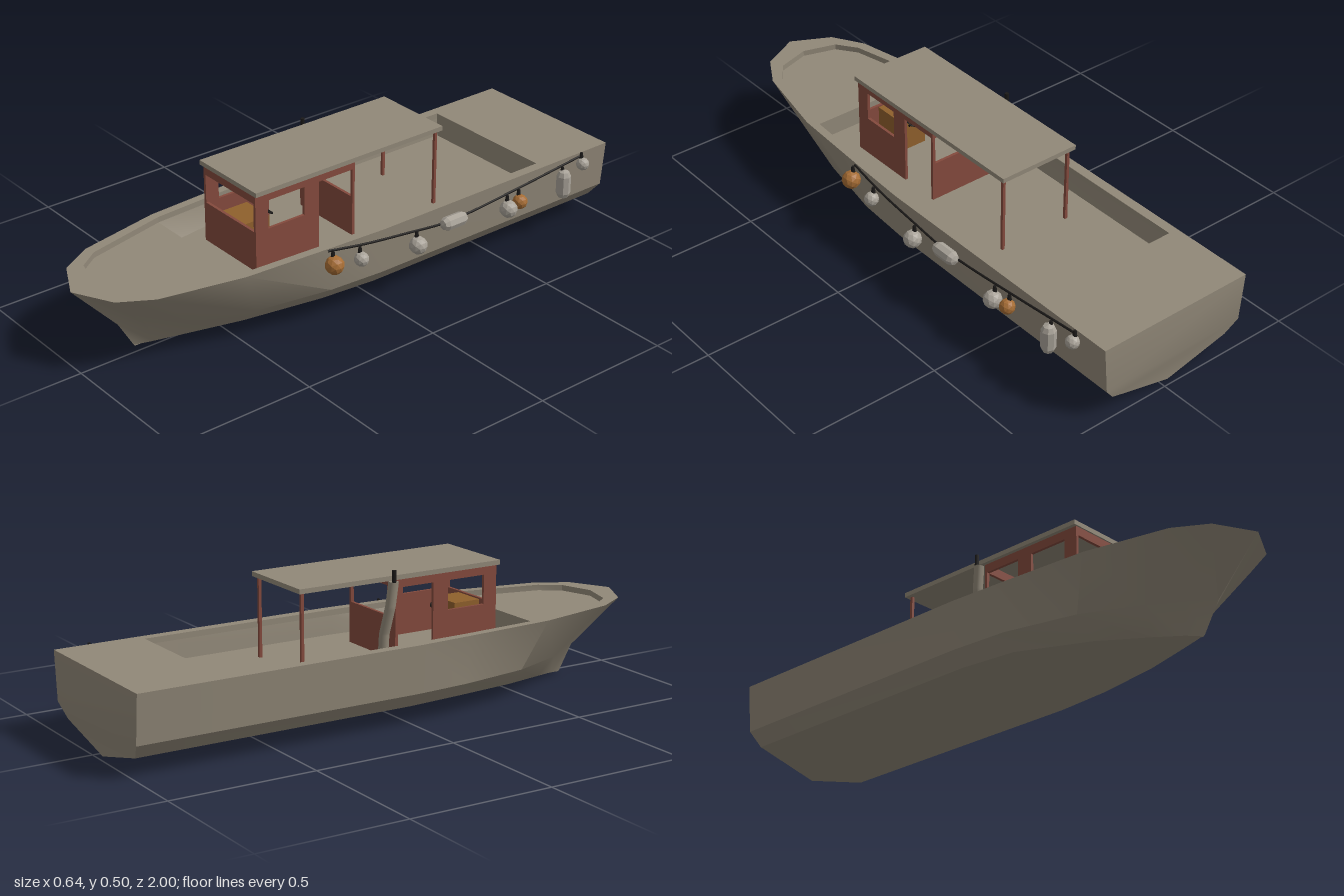
import * as THREE from 'three';
import { toCreasedNormals } from 'three/addons/utils/BufferGeometryUtils.js';

const CX = -0.03; // centreline of the hull
const DECK = 0.275, FLOOR = 0.19, FORE = 0.255;

export function createModel() {
  const model = new THREE.Group();
  model.name = 'boat';
  const material = (name, color, extra = {}) => {
    const m = new THREE.MeshStandardMaterial({ color, ...extra });
    m.name = name;
    return m;
  };
  const hullGrey = material('hull grey', 0x918878, { side: THREE.DoubleSide });
  const rust = material('rust red', 0x844a3d);
  const wood = material('wood', 0x8f602c);
  const orange = material('buoy orange', 0xa56c34);
  const pale = material('buoy grey', 0xa8a298, { flatShading: true });
  const black = material('black', 0x1b1918);
  orange.flatShading = true;

  const add = (name, geometry, mat, x = 0, y = 0, z = 0, parent = model) => {
    const mesh = new THREE.Mesh(geometry, mat);
    mesh.name = name;
    mesh.position.set(x, y, z);
    parent.add(mesh);
    return mesh;
  };
  // Box given by its limits
  const box = (name, mat, x0, x1, y0, y1, z0, z1, parent = model) =>
    add(name, new THREE.BoxGeometry(x1 - x0, y1 - y0, z1 - z0), mat,
      (x0 + x1) / 2, (y0 + y1) / 2, (z0 + z1) / 2, parent);
  // Surface through rows of points
  const loft = (rows, crease = 0.45) => {
    const pos = [], index = [], n = rows[0].length;
    rows.forEach(r => r.forEach(p => pos.push(...p)));
    for (let i = 0; i < rows.length - 1; i++) {
      for (let j = 0; j < n - 1; j++) {
        const a = i * n + j, d = a + n;
        index.push(a, a + 1, d + 1, a, d + 1, d);
      }
    }
    const g = new THREE.BufferGeometry();
    g.setAttribute('position', new THREE.Float32BufferAttribute(pos, 3));
    g.setIndex(index);
    return toCreasedNormals(g, crease);
  };
  // Both sides of a half outline [halfWidth, z], starting on the left
  const mirrored = half => [
    ...half.map(([w, z]) => [w, z]),
    ...half.slice().reverse().map(([w, z]) => [-w, z]),
  ];
  const atHeight = (pts, y) => pts.map(([w, z]) => [CX + w, y, z]);
  // Flat deck from an outline, with an optional hole
  const flat = (pts, y, hole) => {
    const v = list => list.map(([w, z]) => new THREE.Vector2(CX + w, -z));
    const shape = new THREE.Shape(v(pts));
    if (hole) shape.holes.push(new THREE.Path(v(hole)));
    return new THREE.ShapeGeometry(shape).rotateX(-Math.PI / 2).translate(0, y, 0);
  };

  // Hull stations: gunwale, upper chine, lower chine, keel as [halfWidth, y, z]
  const stations = [
    [[0.29, DECK, -1], [0.275, 0.11, -1], [0.235, 0.06, -0.985], [0, 0, -0.98]],
    [[0.29, DECK, 0], [0.275, 0.11, 0], [0.235, 0.06, 0], [0, 0, 0]],
    [[0.28, DECK, 0.2], [0.262, 0.11, 0.2], [0.215, 0.058, 0.2], [0, 0, 0.2]],
    [[0.26, DECK, 0.53], [0.21, 0.105, 0.46], [0.14, 0.038, 0.46], [0, 0, 0.46]],
    [[0.2, DECK, 0.82], [0.125, 0.1, 0.66], [0.065, 0.02, 0.64], [0, 0, 0.64]],
    [[0.135, DECK, 0.93], [0.06, 0.1, 0.77], [0.025, 0.01, 0.73], [0, 0, 0.73]],
    [[0, DECK, 1], [0, 0.1, 0.84], [0, 0.005, 0.785], [0, 0, 0.78]],
  ];
  const side = (s, p) => [CX + s * p[0], p[1], p[2]];
  add('hull', loft(stations.map(st => [
    ...st.map(p => side(-1, p)),
    ...st.slice(0, 3).reverse().map(p => side(1, p)),
  ])), hullGrey);
  add('transom', loft(stations[0].map(p => [side(-1, p), side(1, p)])), hullGrey);

  // Gunwale rim and stern deck, open over the well and the bow
  const rim = mirrored(stations.map(st => [st[0][0], st[0][2]]));
  const wellTop = [[0.255, -0.7], [0.255, 0], [0.25, 0.2], [0.232, 0.52]];
  const wellLow = [[0.25, -0.7], [0.25, 0], [0.235, 0.2], [0.19, 0.52]];
  const bow = [[0.232, 0.52], [0.165, 0.81], [0.115, 0.88], [0, 0.915]];
  add('gunwale', flat(rim, DECK, mirrored([...wellTop, ...bow.slice(1)])), hullGrey);

  // Well walls and floor
  const close = pts => [...pts, pts[0]];
  add('wellWalls', loft([
    atHeight(close(mirrored(wellTop)), FORE),
    atHeight(close(mirrored(wellLow)), FLOOR),
  ]), hullGrey);
  add('wellCoaming', loft([
    atHeight(close(mirrored(wellTop)).slice(4), DECK),
    atHeight(close(mirrored(wellTop)).slice(4), FORE),
  ]), hullGrey);
  add('wellCoamingLeft', loft([
    atHeight(wellTop, DECK), atHeight(wellTop, FORE),
  ]), hullGrey);
  add('wellFloor', flat(mirrored(wellLow), FLOOR), hullGrey);

  // Sunken foredeck
  add('foredeck', flat(mirrored(bow), FORE), hullGrey);
  add('foredeckEdge', loft([
    atHeight(mirrored(bow), DECK), atHeight(mirrored(bow), FORE),
  ]), hullGrey);

  // Cabin
  const cabin = new THREE.Group();
  cabin.name = 'cabin';
  model.add(cabin);
  const L = -0.17, R = 0.105, T = 0.01, SILL = 0.33, HEAD = 0.43, TOP = 0.46;
  box('frontPanel', rust, L, R, FLOOR, SILL, 0.39, 0.4, cabin);
  box('frontHeader', rust, L, R, HEAD, TOP, 0.39, 0.4, cabin);
  box('rearPanel', rust, L, R, FLOOR, SILL, 0, T, cabin);
  box('rearHeader', rust, L, R, HEAD, TOP, 0, T, cabin);
  for (const x of [L, R - T]) {
    box('sidePanel', rust, x, x + T, FLOOR, SILL, 0.148, 0.4, cabin);
    box('sidePillar', rust, x, x + T, SILL, HEAD, 0.148, 0.206, cabin);
    box('sidePillar', rust, x, x + T, SILL, HEAD, 0.35, 0.4, cabin);
    box('sideHeader', rust, x, x + T, HEAD, TOP, 0, 0.4, cabin);
    box('doorPost', rust, x, x + T, FLOOR, HEAD, 0, T, cabin);
    box('rearPost', rust, x, x + T, FLOOR, TOP, -0.352, -0.342, cabin);
  }
  box('roof', hullGrey, -0.183, 0.116, TOP, 0.476, -0.365, 0.405, cabin);

  // Helm
  box('console', wood, -0.09, 0.03, FLOOR, 0.325, 0.29, 0.39, cabin);
  const wheel = new THREE.Group();
  wheel.name = 'steeringWheel';
  wheel.position.set(-0.02, 0.315, 0.265);
  wheel.rotation.x = 1.0;
  cabin.add(wheel);
  add('wheelRim', new THREE.TorusGeometry(0.022, 0.003, 6, 16), black, 0, 0, 0, wheel);
  for (let i = 0; i < 3; i++) {
    add('wheelSpoke', new THREE.BoxGeometry(0.044, 0.004, 0.004), black, 0, 0, 0, wheel)
      .rotation.z = i * Math.PI / 3;
  }
  add('wheelShaft', new THREE.CylinderGeometry(0.004, 0.004, 0.04, 6).rotateX(Math.PI / 2),
    black, 0, 0, 0.02, wheel);

  // Exhaust pipe beside the cabin
  const vec = p => new THREE.Vector3(...p);
  const pipe = new THREE.CurvePath();
  const bends = [[-0.15, FLOOR, -0.035], [-0.157, 0.28, -0.034], [-0.178, 0.375, -0.024], [-0.182, 0.455, -0.015]].map(vec);
  for (let i = 0; i < 3; i++) pipe.add(new THREE.LineCurve3(bends[i], bends[i + 1]));
  add('exhaustPipe', new THREE.TubeGeometry(pipe, 24, 0.017, 12), hullGrey);
  add('exhaustCap', new THREE.CircleGeometry(0.017, 12).rotateX(-Math.PI / 2), hullGrey, -0.182, 0.455, -0.015);
  add('exhaustTip', new THREE.CylinderGeometry(0.007, 0.007, 0.042, 8), black, -0.19, 0.474, -0.018);

  // Fender rope slung along the left side
  const rope = new THREE.CatmullRomCurve3([
    [0.252, 0.27, 0.23], [0.262, 0.25, 0.08], [0.265, 0.23, -0.1], [0.265, 0.214, -0.25],
    [0.265, 0.216, -0.36], [0.265, 0.237, -0.6], [0.264, 0.265, -0.88],
  ].map(vec));
  add('fenderRope', new THREE.TubeGeometry(rope, 40, 0.004, 6), black);

  // Fenders: x, y, z, radius, colour, and the capsule axis if long
  const fenders = [
    [0.275, 0.227, 0.22, 0.032, orange],
    [0.275, 0.21, 0.11, 0.025, pale],
    [0.285, 0.185, -0.12, 0.031, pale],
    [0.278, 0.217, -0.28, 0.024, pale, 'z'],
    [0.285, 0.185, -0.52, 0.031, pale],
    [0.277, 0.19, -0.58, 0.026, orange],
    [0.283, 0.195, -0.778, 0.025, pale, 'y'],
    [0.275, 0.238, -0.875, 0.023, pale],
  ];
  for (const [x, y, z, r, mat, axis] of fenders) {
    const g = axis ? new THREE.CapsuleGeometry(r, 0.1 - 1.2 * r, 2, 8).scale(1, 0.9, 1)
      : new THREE.IcosahedronGeometry(r, 1);
    if (axis === 'z') g.rotateX(Math.PI / 2);
    add(axis ? 'longFender' : 'roundFender', g, mat, x, y, z);
    if (axis !== 'z') {
      const half = axis ? 0.045 : r;
      add('fenderKnot', new THREE.CylinderGeometry(0.005, 0.008, 0.022, 6), black, x - 0.008, y + half + 0.006, z);
    }
  }
  return model;
}
